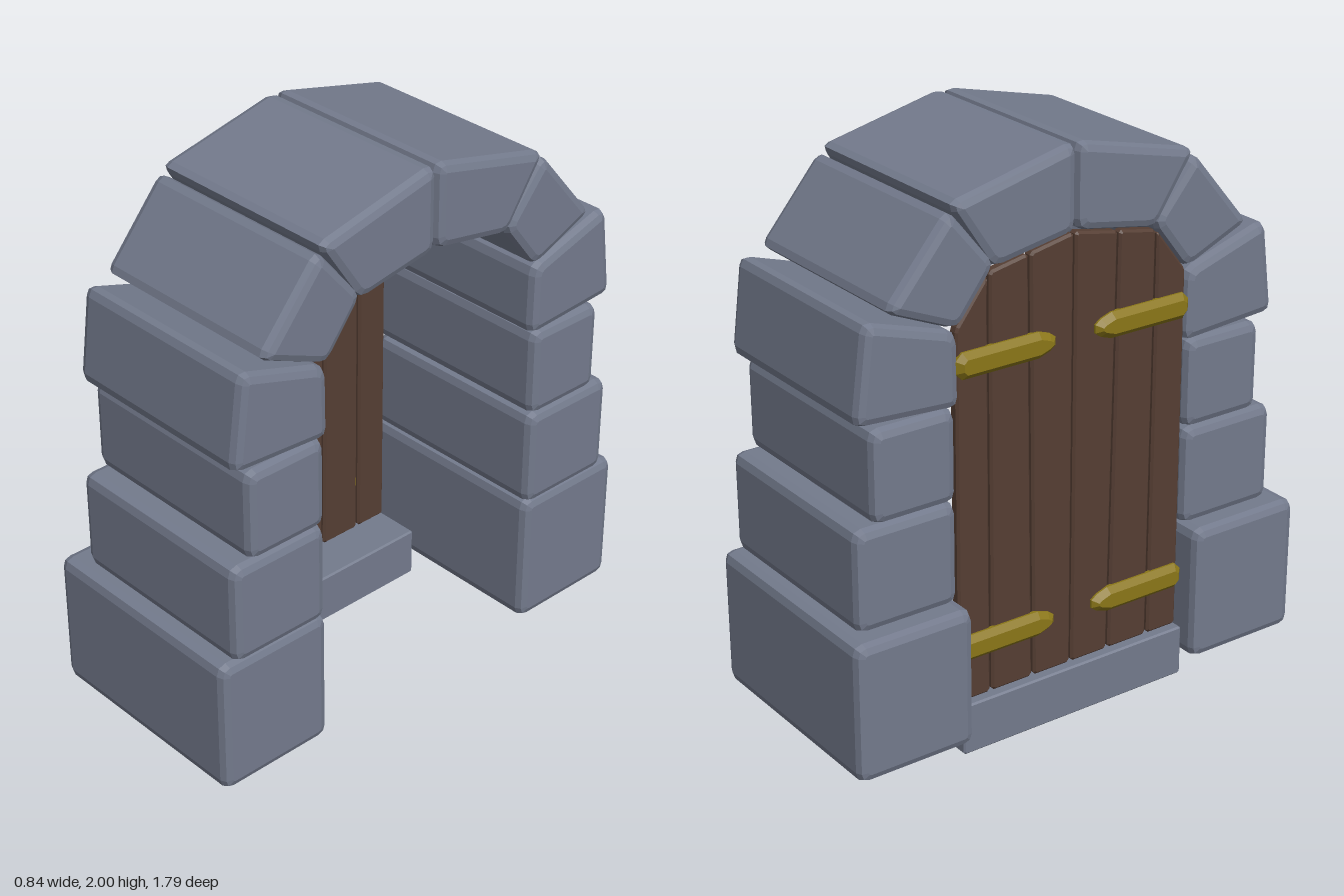
import * as THREE from 'three';

const stoneMat = new THREE.MeshStandardMaterial({ color: 0x737a8c });
const woodMat = new THREE.MeshStandardMaterial({ color: 0x553e33 });
const metalMat = new THREE.MeshStandardMaterial({ color: 0x8a7618 });

// Block with a rounded (z, y) outline, running from x0 to x1 with bevelled ends
function block(name, outline, x0, x1, bevel, mat, segments = 2) {
  const pts = outline.map(([z, y]) => new THREE.Vector2(-z, y));
  const shape = new THREE.Shape();
  pts.forEach((p, i) => {
    const prev = pts[(i + pts.length - 1) % pts.length];
    const next = pts[(i + 1) % pts.length];
    const toward = (q) => p.clone().add(q.clone().sub(p).setLength(bevel * 1.2));
    const a = toward(prev), b = toward(next);
    if (i === 0) shape.moveTo(a.x, a.y); else shape.lineTo(a.x, a.y);
    shape.quadraticCurveTo(p.x, p.y, b.x, b.y);
  });
  shape.closePath();
  const geo = new THREE.ExtrudeGeometry(shape, {
    depth: x1 - x0 - 2 * bevel, curveSegments: segments, bevelSegments: segments,
    bevelThickness: bevel, bevelSize: bevel, bevelOffset: -bevel,
  });
  geo.translate(0, 0, x0 + bevel);
  geo.rotateY(Math.PI / 2);
  const mesh = new THREE.Mesh(geo, mat);
  mesh.name = name;
  return mesh;
}

const rect = (z0, z1, y0, y1) => [[z0, y0], [z1, y0], [z1, y1], [z0, y1]];

export function createModel() {
  const model = new THREE.Group();
  model.name = 'stoneArchDoor';
  const arch = new THREE.Group(), door = new THREE.Group();
  arch.name = 'stoneArch';
  door.name = 'woodenDoor';
  model.add(arch, door);

  // Outlines for one half, from the ground to the crown
  const stones = [
    ['footStone', rect(0.458, 0.897, 0.08, 0.57), -0.42],
    ['lowerStone', rect(0.463, 0.84, 0.562, 0.917), -0.34],
    ['middleStone', rect(0.463, 0.772, 0.92, 1.238), -0.34],
    ['springerStone', [[0.447, 1.235], [0.828, 1.26], [0.785, 1.592], [0.45, 1.488]], -0.34],
    ['haunchStone', [[0.45, 1.492], [0.71, 1.603], [0.475, 1.882], [0.305, 1.68]], -0.34],
    ['crownStone', [[0.003, 1.715], [0.318, 1.66], [0.475, 1.897], [0.003, 2.007]], -0.34],
  ];
  const planks = [
    [[0.003, 0.183], [0.153, 0.183], [0.171, 1.68], [0.003, 1.712]],
    [[0.16, 0.183], [0.322, 0.183], [0.326, 1.652], [0.178, 1.68]],
    [[0.329, 0.183], [0.453, 0.183], [0.453, 1.49], [0.333, 1.645]],
  ];
  // Pointed hinge strap
  const strap = (y) => [
    [0.46, y - 0.045], [0.46, y + 0.045], [0.12, y + 0.045], [0.06, y], [0.12, y - 0.045],
  ];

  for (const side of [1, -1]) {
    const mirror = (outline) => outline.map(([z, y]) => [z * side, y]);
    for (const [name, outline, back] of stones) {
      arch.add(block(name, mirror(outline), back, 0.415, 0.03, stoneMat));
    }
    for (const outline of planks) {
      door.add(block('plank', mirror(outline), -0.325, -0.285, 0.008, woodMat, 1));
    }
    for (const y of [0.38, 1.37]) {
      door.add(block('hinge', mirror(strap(y)), -0.352, -0.3, 0.02, metalMat, 1));
    }
  }

  // Doorstep
  model.add(block('doorstep', rect(-0.457, 0.457, 0, 0.183), -0.355, -0.13, 0.006, stoneMat, 1));
  return model;
}
